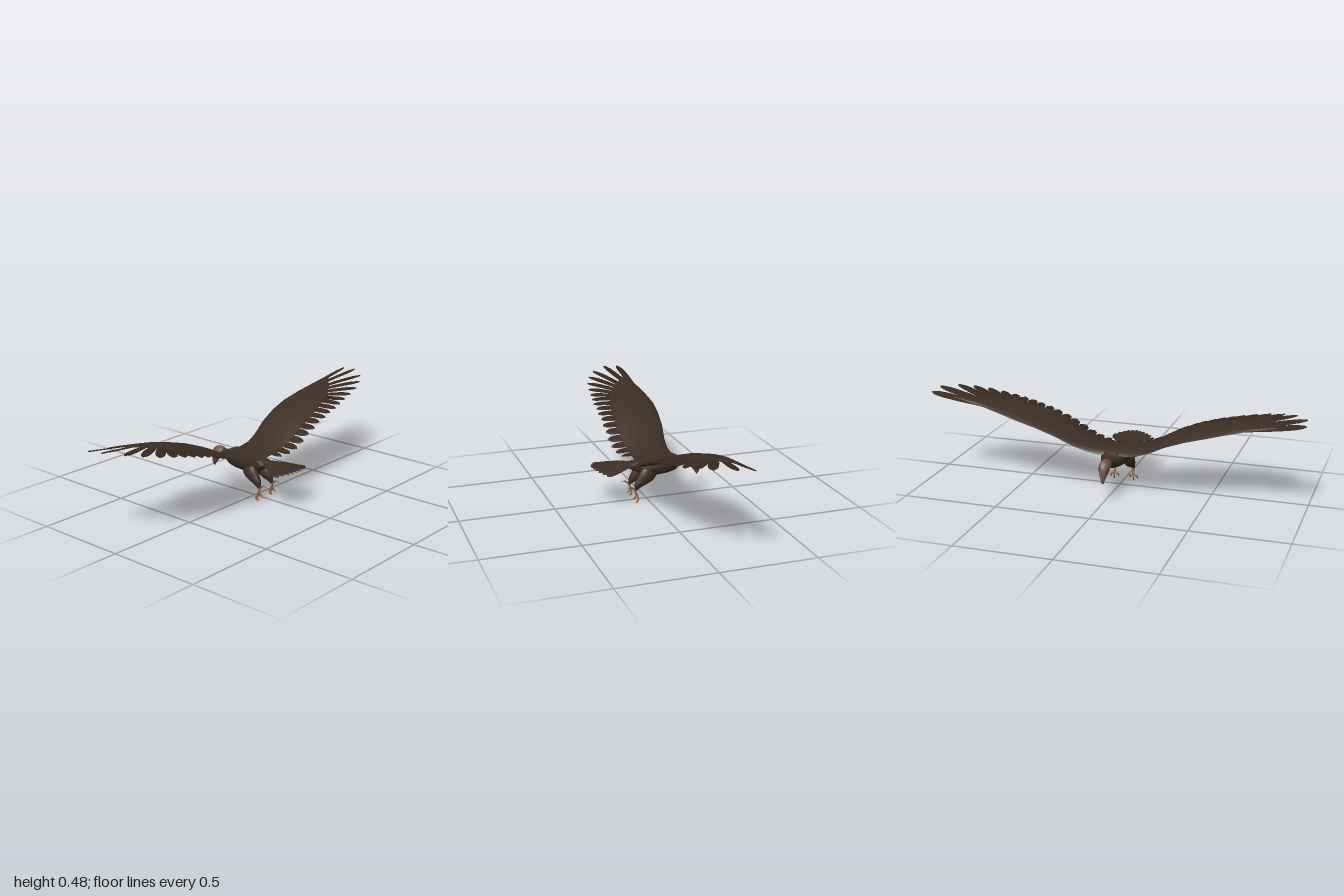
import * as THREE from 'three';
import { toCreasedNormals } from 'three/addons/utils/BufferGeometryUtils.js';

const mat = (name, color) => Object.assign(new THREE.MeshStandardMaterial({ color }), { name });
const V = (x, y, z) => new THREE.Vector3(x, y, z);

// Closed skin over a list of rings with equal point counts; winding is fixed by signed volume
function loft(name, rings, material, crease = 1) {
  const n = rings[0].length, pts = rings.flat(), idx = [];
  const centre = r => r.reduce((s, p) => s.add(p), V(0, 0, 0)).divideScalar(n);
  for (let i = 0; i < rings.length - 1; i++) {
    for (let j = 0; j < n; j++) {
      const a = i * n + j, b = i * n + (j + 1) % n;
      idx.push(a, b, a + n, b, b + n, a + n);
    }
  }
  const last = (rings.length - 1) * n, c0 = pts.length;
  pts.push(centre(rings[0]), centre(rings[rings.length - 1]));
  for (let j = 0; j < n; j++) {
    const k = (j + 1) % n;
    idx.push(c0, k, j, c0 + 1, last + j, last + k);
  }
  let volume = 0;
  for (let i = 0; i < idx.length; i += 3) {
    volume += pts[idx[i]].dot(pts[idx[i + 1]].clone().cross(pts[idx[i + 2]]));
  }
  if (volume < 0) idx.reverse();
  const geo = new THREE.BufferGeometry().setFromPoints(pts);
  geo.setIndex(idx);
  const mesh = new THREE.Mesh(toCreasedNormals(geo, crease), material);
  mesh.name = name;
  return mesh;
}

// Tapered limb through stations [x, y, z, half width, half depth], smoothed along its path
function limb(name, stations, material, sides = 14, steps = 12) {
  const path = new THREE.CatmullRomCurve3(stations.map(s => V(s[0], s[1], s[2])));
  const size = new THREE.CatmullRomCurve3(stations.map(s => V(s[3], s[4] ?? s[3], 0)));
  const rings = [];
  for (let i = 0; i <= steps; i++) {
    const t = i / steps, c = path.getPoint(t), d = path.getTangent(t), r = size.getPoint(t);
    const side = V(1, 0, 0).addScaledVector(d, -d.x).normalize(), up = d.clone().cross(side);
    rings.push(Array.from({ length: sides }, (_, j) => {
      const a = j / sides * Math.PI * 2;
      return c.clone().addScaledVector(side, Math.cos(a) * r.x).addScaledVector(up, Math.sin(a) * r.y);
    }));
  }
  return loft(name, rings, material, 1.2);
}

// Wing stations: x, leading edge z, trailing edge z, height, half thickness
const WING = [
  [0.02, -0.155, 0.06, 0.222, 0.016], [0.07, -0.163, 0.06, 0.226, 0.017], [0.13, -0.166, 0.06, 0.235, 0.016],
  [0.2, -0.176, 0.065, 0.262, 0.014], [0.3, -0.197, 0.065, 0.318, 0.012], [0.4, -0.21, 0.058, 0.36, 0.011],
  [0.5, -0.215, 0.04, 0.391, 0.01], [0.6, -0.204, 0.01, 0.415, 0.009], [0.7, -0.188, -0.05, 0.435, 0.007],
  [0.8, -0.177, -0.13, 0.452, 0.005], [0.86, -0.174, -0.16, 0.461, 0.003], [1, -0.17, -0.16, 0.482, 0.003],
];
function wingHeight(x, z) {
  let i = 0;
  while (i < WING.length - 2 && x > WING[i + 1][0]) i++;
  const [a, b] = [WING[i], WING[i + 1]];
  return THREE.MathUtils.lerp(a[3], b[3], (x - a[0]) / (b[0] - a[0])) - 0.6 * (z + 0.03) ** 2;
}

// Thin ridged feather from root to tip in plan [x, z], laid on a height rule
function feather(name, root, tip, half, height, s, material, thick = 0.003) {
  const dx = tip[0] - root[0], dz = tip[1] - root[1], len = Math.hypot(dx, dz);
  const across = [-dz / len, dx / len];
  const outline = [[0, 0.5], [0.25, 0.8], [0.5, 1], [0.75, 1], [0.88, 0.85], [0.96, 0.55], [1, 0.15]];
  const rings = outline.map(([t, w]) =>
    [[-1, 0], [0, 1], [1, 0], [0, -1]].map(([u, v]) => {
      const x = root[0] + dx * t + across[0] * u * w * half;
      const z = root[1] + dz * t + across[1] * u * w * half;
      return V(x * s, height(x, z) + v * thick + u * w * half * 0.12, z);
    }));
  return loft(name, rings, material, 0.9);
}

function wing(s, plumage, quill) {
  const g = new THREE.Group();
  g.name = s > 0 ? 'leftWing' : 'rightWing';
  // Cambered arm of the wing
  const upper = [0, 0.04, 0.15, 0.35, 0.6, 0.8, 1], lower = [0.8, 0.6, 0.35, 0.15, 0.04];
  const rings = WING.slice(0, -1).map(([x, le, te, , th]) => {
    const point = (u, side) => {
      const z = le + (te - le) * u;
      return V(s * x, wingHeight(x, z) + side * th * 2.6 * Math.sqrt(u) * (1 - u), z);
    };
    return [...upper.map(u => point(u, 1)), ...lower.map(u => point(u, -0.7))];
  });
  g.add(loft('wingArm', rings, plumage, 1.2));

  // Spread primaries fanning around the wing tip
  const tips = [[0.993, -0.165], [0.985, -0.08], [0.92, 0.008], [0.85, 0.055], [0.775, 0.087], [0.7, 0.103], [0.635, 0.112]];
  tips.forEach((tip, i) => {
    const f = i / (tips.length - 1);
    const root = [0.66 - 0.1 * f, -0.165 + 0.12 * f];
    g.add(feather('primaryFeather', root, tip, 0.025, (x, z) => wingHeight(x, z) - 0.002, s, quill));
  });
  // Secondaries along the trailing edge
  for (let i = 0; i < 11; i++) {
    const x = 0.09 + i * 0.049;
    const z = 0.13 - 0.025 * Math.max(0, 1 - i / 2) - 0.0018 * Math.max(0, i - 4) + (i % 2) * 0.004;
    g.add(feather('secondaryFeather', [x - 0.01 - i * 0.004, z - 0.18], [x, z], 0.024,
      (a, b) => wingHeight(a, b) - 0.002, s, quill));
  }
  // Shorter coverts beneath
  for (let i = 0; i < 12; i++) {
    const x = 0.12 + i * 0.045;
    const z = 0.055 - 0.0006 * i * i;
    g.add(feather('underCovert', [x - 0.015, z - 0.11], [x, z], 0.022,
      (a, b) => wingHeight(a, b) - 0.007, s, plumage, 0.002));
  }
  return g;
}

function leg(s, plumage, skin) {
  const g = new THREE.Group();
  g.name = s > 0 ? 'leftLeg' : 'rightLeg';
  const x = 0.046 * s;
  g.add(limb('thigh', [
    [x * 0.85, 0.175, -0.015, 0.022, 0.045], [x, 0.148, 0.01, 0.026, 0.045], [x, 0.122, 0.036, 0.024, 0.034],
    [x * 1.05, 0.098, 0.06, 0.017, 0.022], [x * 1.1, 0.072, 0.076, 0.007, 0.008],
  ], plumage));
  g.add(limb('shank', [
    [x * 1.1, 0.08, 0.074, 0.006], [x * 1.12, 0.058, 0.074, 0.006], [x * 1.14, 0.034, 0.067, 0.007],
  ], skin, 8, 6));
  // Three front toes with hooked claws
  [[-0.02, 0.012, 0.008], [0.002, 0, 0], [0.022, 0.01, 0.006]].forEach(([spread, lift, back]) => {
    const tx = k => x * 1.14 + s * spread * k;
    g.add(limb('frontToe', [
      [tx(0), 0.038, 0.068, 0.005], [tx(0.6), 0.027 + lift * 0.4, 0.064 + back * 0.5, 0.0045],
      [tx(1), 0.014 + lift, 0.064 + back, 0.004], [tx(1), 0.004 + lift, 0.071 + back, 0.003],
      [tx(0.95), 0.003 + lift, 0.079 + back, 0.001],
    ], skin, 7, 10));
  });
  // Hind toe sweeping up and back
  g.add(limb('hindToe', [
    [x * 1.12, 0.062, 0.075, 0.005], [x * 1.12, 0.078, 0.086, 0.0045], [x * 1.12, 0.088, 0.1, 0.004],
    [x * 1.12, 0.09, 0.113, 0.003], [x * 1.12, 0.083, 0.119, 0.001],
  ], skin, 7, 10));
  return g;
}

export function createModel() {
  const model = new THREE.Group();
  model.name = 'soaringBird';
  const plumage = mat('brownPlumage', 0x3d2f25);
  const quill = mat('darkFeathers', 0x38291f);
  const skin = mat('bareHeadSkin', 0x765349);
  const horn = mat('beakHorn', 0x7a5230);
  const foot = mat('footSkin', 0x95623a);
  const dark = mat('eyeDark', 0x2a1c17);

  // Body: z, top, bottom, half width
  const body = [
    [-0.235, 0.212, 0.172, 0.023], [-0.2, 0.212, 0.167, 0.024], [-0.175, 0.221, 0.16, 0.036],
    [-0.15, 0.235, 0.144, 0.056], [-0.1, 0.243, 0.134, 0.069], [-0.05, 0.243, 0.13, 0.071],
    [0, 0.235, 0.13, 0.066], [0.05, 0.222, 0.155, 0.05], [0.1, 0.212, 0.18, 0.036], [0.17, 0.207, 0.19, 0.03],
  ];
  model.add(limb('body', body.map(([z, t, b, w]) => [0, (t + b) / 2, z, w, (t - b) / 2]), plumage, 22, 27));

  // Head, bent down towards the hooked beak
  model.add(limb('head', [
    [0, 0.191, -0.22, 0.025, 0.024], [0, 0.193, -0.238, 0.028, 0.028], [0, 0.187, -0.256, 0.029, 0.033],
    [0, 0.171, -0.268, 0.027, 0.031], [0, 0.15, -0.278, 0.02, 0.023], [0, 0.128, -0.285, 0.012, 0.015],
  ], skin, 18, 18));
  model.add(limb('beak', [
    [0, 0.131, -0.285, 0.0125, 0.0155], [0, 0.117, -0.288, 0.009, 0.011], [0, 0.105, -0.284, 0.003, 0.004],
  ], horn, 12, 6));

  for (const s of [1, -1]) {
    const eye = new THREE.Mesh(new THREE.SphereGeometry(0.004, 10, 8), dark);
    eye.name = 'eye';
    eye.position.set(s * 0.0245, 0.178, -0.278);
    model.add(eye, wing(s, plumage, quill), leg(s, plumage, foot));
  }

  // Fanned tail, arched higher in the middle
  const tail = new THREE.Group();
  tail.name = 'tail';
  for (let i = -5; i <= 5; i++) {
    const a = i / 5;
    const tip = [0.112 * a, 0.298 - 0.05 * a * a];
    tail.add(feather('tailFeather', [0.022 * a, 0.08], tip, 0.019,
      x => 0.206 - 1.3 * x * x - 0.0006 * (i & 1), 1, plumage));
  }
  model.add(tail);
  return model;
}
